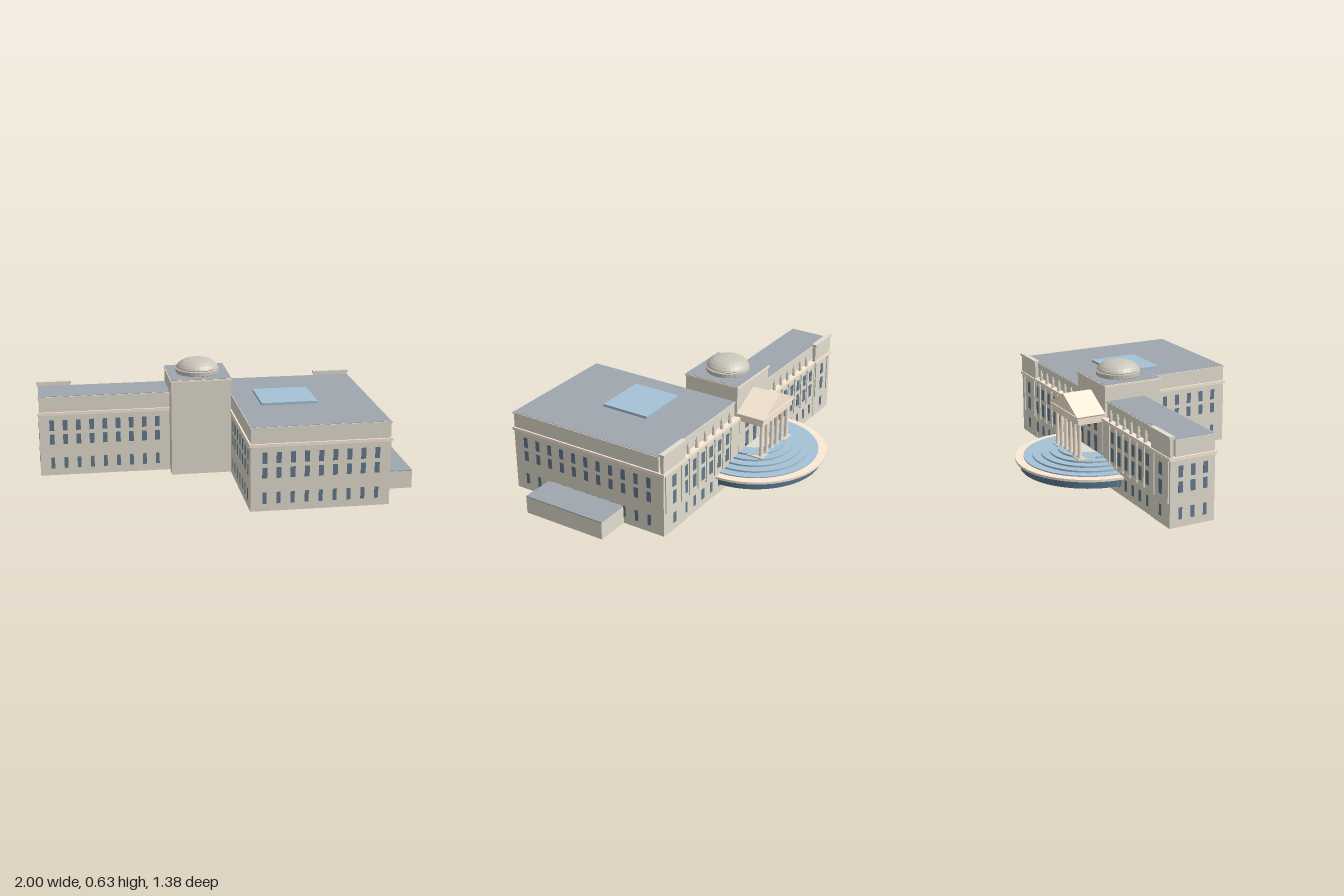
import * as THREE from 'three';

const mat = (color, extra = {}) => new THREE.MeshStandardMaterial({ color, ...extra });

export function createModel() {
  const model = new THREE.Group();
  const stone = mat(0xe3ded0, { side: THREE.DoubleSide });
  const trim = mat(0xfcebd8), roofGrey = mat(0x9fa7af), glazing = mat(0x647a8e);
  const glass = mat(0xa6c2d6, { flatShading: true }), darkGlass = mat(0x5a7890, { flatShading: true });
  const ringStone = mat(0xfcebd8, { flatShading: true });
  const domeGrey = mat(0xcbc6ba, { flatShading: true });

  const add = (name, geo, material, parent = model) => {
    const m = new THREE.Mesh(geo, material);
    m.name = name;
    parent.add(m);
    return m;
  };
  // Box given by its limits on each axis
  const box = (name, [x0, x1], [y0, y1], [z0, z1], material, parent) => {
    const m = add(name, new THREE.BoxGeometry(x1 - x0, y1 - y0, z1 - z0), material, parent);
    m.position.set((x0 + x1) / 2, (y0 + y1) / 2, (z0 + z1) / 2);
    return m;
  };
  // Box standing on the ground without its bottom face
  const shell = (name, x, height, z, parent) => {
    const { geometry } = box(name, x, [0, height], z, stone, parent);
    const index = Array.from(geometry.index.array);
    index.splice(18, 6);
    geometry.setIndex(index);
    geometry.clearGroups();
  };
  const grow = ([a, b], d) => [a - d, b + d];
  const group = (name) => {
    const g = new THREE.Group();
    g.name = name;
    model.add(g);
    return g;
  };
  const spread = (a, b, n) => Array.from({ length: n }, (_, i) => a + (b - a) * i / (n - 1));
  const profile = (points) => points.map(p => new THREE.Vector2(...p));

  // Wings: main walls, cornice, set-back attic, coping and flat roof
  const wing = (name, x, z) => {
    const g = group(name);
    shell('walls', x, 0.352, z, g);
    box('cornice', grow(x, 0.007), [0.35, 0.367], grow(z, 0.007), trim, g);
    const az = [z[0] + 0.028, z[1] - 0.002], ax = grow(x, -0.002);
    box('attic', ax, [0.367, 0.447], az, stone, g);
    box('coping', grow(ax, 0.004), [0.447, 0.455], grow(az, 0.005), stone, g);
    box('roof', grow(ax, -0.001), [0.45, 0.457], grow(az, 0), roofGrey, g);
  };
  wing('rightWing', [-0.99, -0.262], [-0.282, -0.03]);
  wing('mainBlock', [0.07, 0.809], [-0.282, 0.68]);
  box('lowerFloor', [0.071, 0.808], [0.2, 0.205], [-0.281, 0.679], roofGrey);

  // Central block with its dome
  const cx = -0.098, bx = [-0.264, 0.07];
  shell('centralBlock', bx, 0.536, [-0.268, 0.062]);
  box('centralCoping', grow(bx, 0.005), [0.535, 0.545], [-0.274, 0.067], trim);
  box('centralRoof', grow(bx, 0.001), [0.54, 0.547], [-0.269, 0.063], roofGrey);
  const domeProfile = [[0.117, 0.545], [0.121, 0.549], [0.121, 0.57], [0.111, 0.573], [0.118, 0.578],
    [0.113, 0.587], [0.1, 0.601], [0.08, 0.614], [0.05, 0.623], [0.018, 0.626], [0, 0.627]];
  add('dome', new THREE.LatheGeometry(profile(domeProfile), 28), domeGrey).position.set(cx, 0, -0.105);

  // Annex and skylight
  shell('annex', [0.809, 1], 0.099, [-0.03, 0.46]);
  box('annexRoof', [0.809, 1], [0.097, 0.102], [-0.03, 0.46], roofGrey);
  box('skylight', [0.195, 0.5], [0.455, 0.471], [0.03, 0.311], glass);

  // Windows in three rows; axis is the direction the row runs along
  const windows = group('windows');
  const floors = [[0.26, 0.32, 0.026], [0.18, 0.238, 0.026], [0.04, 0.103, 0.021]];
  const windowRows = (axis, places, plane, rows = floors) => {
    for (const [y0, y1, w] of rows) for (const p of places) {
      const along = [p - w / 2, p + w / 2], deep = [plane - 0.0015, plane + 0.0015];
      if (axis === 'x') box('window', along, [y0, y1], deep, glazing, windows);
      else box('window', deep, [y0, y1], along, glazing, windows);
    }
  };
  windowRows('x', spread(-0.92, -0.334, 9), -0.03);
  windowRows('x', spread(0.144, 0.738, 9), 0.68);
  windowRows('z', spread(0.605, -0.193, 11), 0.809);
  windowRows('z', spread(0.605, 0.125, 7), 0.07);
  windowRows('z', [-0.225, -0.155, -0.085], -0.99);

  // Colonnaded rear: pilasters, windows between them and statues above
  const rear = group('rearFacade');
  const rearFloors = [[0.255, 0.32, 0.032], [0.155, 0.23, 0.032], [0.04, 0.1, 0.024]];
  const statue = new THREE.LatheGeometry(profile([[0.01, 0], [0.01, 0.015], [0.008, 0.017], [0.01, 0.042],
    [0.004, 0.05], [0.006, 0.057], [0, 0.066]]), 10);
  for (const [a, b] of [[-0.72, -0.337], [0.15, 0.56]]) {
    const places = spread(a, b, 6), pitch = (b - a) / 5;
    for (const x of places) {
      box('pilaster', [x - 0.011, x + 0.011], [0.14, 0.335], [-0.288, -0.28], stone, rear);
      box('pilasterBase', [x - 0.014, x + 0.014], [0.13, 0.142], [-0.29, -0.28], stone, rear);
      box('pilasterCapital', [x - 0.014, x + 0.014], [0.332, 0.35], [-0.29, -0.28], stone, rear);
      add('statue', statue, stone, rear).position.set(x, 0.366, -0.272);
    }
    const bays = places.slice(0, 5).map(x => x + pitch / 2);
    bays.push(a < 0 ? a - pitch / 2 : b + pitch / 2);
    windowRows('x', bays, -0.282, rearFloors);
  }

  // End pavilions with raised parapets
  for (const x of [[-0.992, -0.802], [0.612, 0.811]]) {
    const mid = (x[0] + x[1]) / 2;
    box('pavilion', x, [0, 0.35], [-0.285, -0.279], stone, rear);
    box('pavilionCornice', grow(x, 0.006), [0.35, 0.367], [-0.293, -0.25], trim, rear);
    box('parapet', x, [0.367, 0.465], [-0.287, -0.268], stone, rear);
    box('parapetCap', grow(x, 0.004), [0.463, 0.476], [-0.293, -0.264], stone, rear);
    for (const s of [-1, 1]) {
      const px = mid + s * 0.072;
      box('pavilionPilaster', [px - 0.012, px + 0.012], [0.13, 0.35], [-0.291, -0.284], stone, rear);
    }
    windowRows('x', [mid], -0.285, rearFloors);
  }

  // Portico: podium, six columns, entablature and gable
  const portico = group('portico');
  shell('podium', bx, 0.155, [-0.428, -0.268], portico);
  box('porticoWall', bx, [0.15, 0.36], [-0.284, -0.268], stone, portico);
  box('entablature', grow(bx, -0.003), [0.345, 0.382], [-0.428, -0.26], trim, portico);
  box('porticoCornice', grow(bx, 0.005), [0.38, 0.39], [-0.436, -0.26], trim, portico);
  const gable = new THREE.Shape(profile([[-0.172, 0.388], [0.172, 0.388], [0, 0.478]]));
  add('gable', new THREE.ExtrudeGeometry(gable, { depth: 0.165, bevelEnabled: false }), trim, portico)
    .position.set(cx, 0, -0.43);
  // Sloping edges of the gable
  for (const s of [-1, 1]) {
    const rake = add('gableRake', new THREE.BoxGeometry(0.196, 0.008, 0.165), trim, portico);
    rake.position.set(cx + s * 0.086, 0.433, -0.355);
    rake.rotation.z = -s * Math.atan2(0.09, 0.172);
  }
  const column = new THREE.LatheGeometry(profile([[0.014, 0], [0.014, 0.01], [0.011, 0.016], [0.009, 0.176],
    [0.014, 0.183], [0.014, 0.19]]), 14);
  for (const x of spread(cx - 0.14, cx + 0.14, 6)) {
    add('column', column, trim, portico).position.set(x, 0.155, -0.408);
  }
  windowRows('x', [cx - 0.084, cx, cx + 0.084], -0.284, [[0.16, 0.25, 0.034], [0.275, 0.325, 0.034]]);

  // Half-round stepped glass entrance
  const entrance = group('entrancePavilion');
  const halfRing = (name, r0, r1, y0, y1, material) => {
    const pts = profile([[r0, y0], [r1, y0], [r1, y1], [r0, y1], [r0, y0]]);
    add(name, new THREE.LatheGeometry(pts, 32, Math.PI / 2, Math.PI), material, entrance)
      .position.set(cx, 0, -0.28);
  };
  halfRing('glassWall', 0.372, 0.382, 0.055, 0.102, darkGlass);
  halfRing('canopyRim', 0.36, 0.409, 0.1, 0.113, ringStone);
  const radii = [0.363, 0.315, 0.268, 0.221, 0.174, 0.1];
  for (let i = 0; i < 5; i++) {
    const top = 0.119 + i * 0.0095;
    halfRing('glassStep', radii[i + 1] - 0.004, radii[i], top - 0.014, top, glass);
  }
  return model;
}
